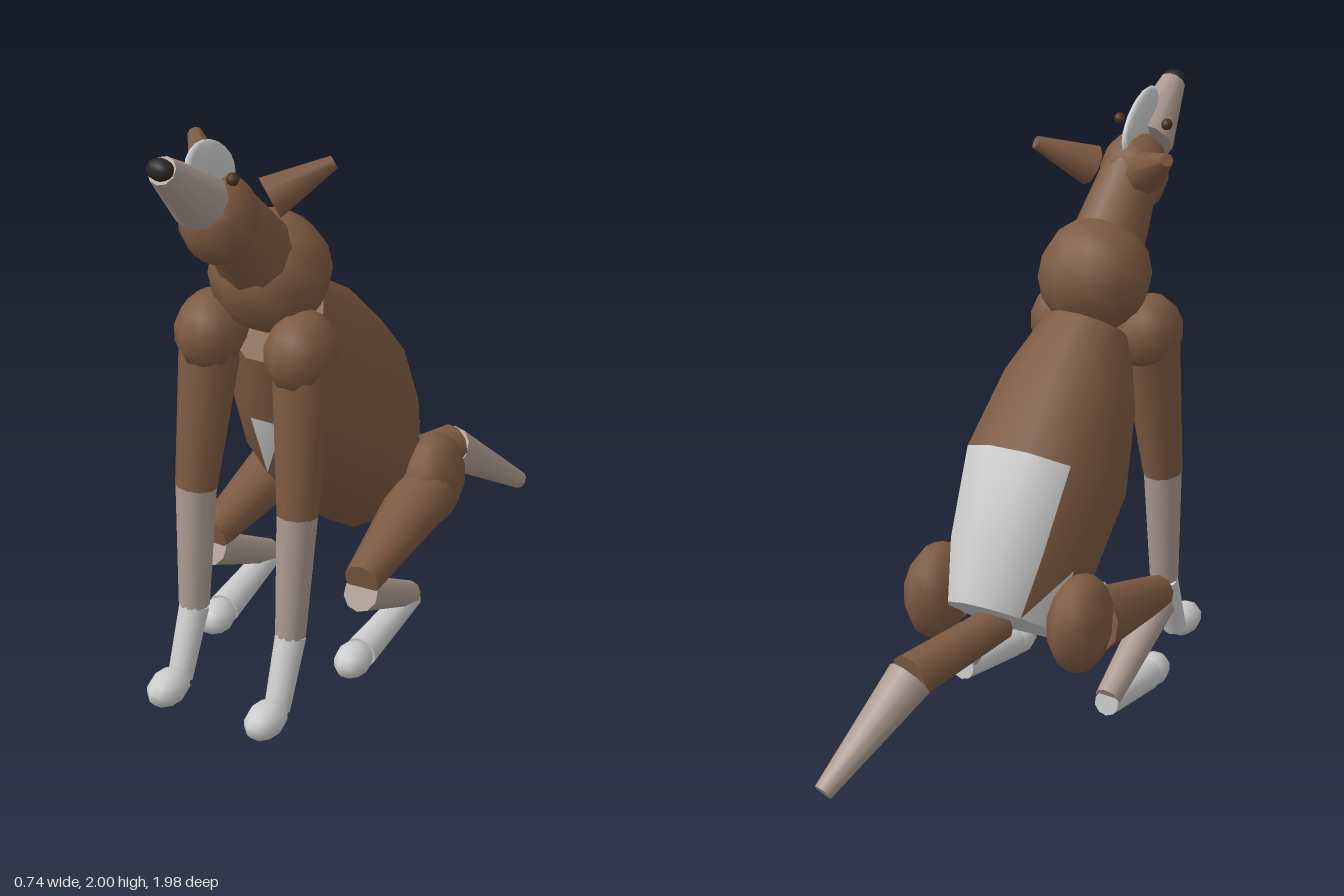
import * as THREE from 'three';

const mat = (color) => new THREE.MeshStandardMaterial({ color });

export function createModel() {
  const model = new THREE.Group();
  model.name = 'sittingDog';
  const brown = mat(0x7d5a42), tan = mat(0xac9a90), pale = mat(0xcccccc);
  const black = mat(0x262626), eyeBrown = mat(0x4a3020);

  const add = (name, geometry, material, parent = model) => {
    const mesh = new THREE.Mesh(geometry, material);
    mesh.name = name;
    parent.add(mesh);
    return mesh;
  };

  // Tapered limb segment running from point a to point b
  const limb = (name, a, b, ra, rb, material, sides = 10) => {
    const p = new THREE.Vector3(...a), q = new THREE.Vector3(...b);
    const dir = q.clone().sub(p);
    const mesh = add(name, new THREE.CylinderGeometry(rb, ra, dir.length(), sides), material);
    mesh.position.copy(p).add(q).multiplyScalar(0.5);
    mesh.quaternion.setFromUnitVectors(new THREE.Vector3(0, 1, 0), dir.normalize());
    return mesh;
  };

  // Ellipsoid joint or paw
  const ball = (name, p, r, material, w = 10, h = 7) => {
    const mesh = add(name, new THREE.SphereGeometry(1, w, h), material);
    mesh.position.set(...p);
    mesh.scale.set(...r);
    return mesh;
  };

  // Torso: a bulging tilted barrel, rows listed from the chest down to the rump
  const body = new THREE.Group();
  body.name = 'torso';
  body.position.set(0, 0.43, -0.25);
  body.rotation.x = 0.61;
  model.add(body);
  const heights = [1.01, 0.78, 0.5, 0.2, 0];
  const radii = [0.175, 0.27, 0.325, 0.288, 0.23];
  const barrel = new THREE.CylinderGeometry(1, 1, 4, 12, 4, false, Math.PI / 12);
  const pos = barrel.attributes.position;
  for (let i = 0; i < pos.count; i++) {
    const row = Math.round(2 - pos.getY(i));
    const r = radii[row];
    pos.setXYZ(i, pos.getX(i) * r * 0.82, heights[row], pos.getZ(i) * r);
  }
  barrel.computeVertexNormals();
  // Smooth over the seam: both copies of the seam vertices share one normal
  const nor = barrel.attributes.normal;
  for (let row = 0; row < 5; row++) {
    const a = row * 13, b = a + 12;
    const n = new THREE.Vector3().fromBufferAttribute(nor, a)
      .add(new THREE.Vector3().fromBufferAttribute(nor, b)).normalize();
    nor.setXYZ(a, n.x, n.y, n.z);
    nor.setXYZ(b, n.x, n.y, n.z);
  }
  // Pale patches: rump saddle, rump underside and a single triangle on the belly
  const isPale = (k) => {
    if (k >= 96) return k >= 108;
    const quad = Math.floor(k / 2), col = Math.floor(quad / 4), row = quad % 4, half = k % 2;
    if (col >= 4 && col <= 6) return row >= 2;
    if (row === 3) return (col === 3 && half === 0) || (col === 7 && half === 1);
    return col === 11 && row === 1 && half === 0;
  };
  const index = Array.from(barrel.index.array);
  const pick = (want) => {
    const g = barrel.clone();
    g.clearGroups();
    g.setIndex(index.filter((_, i) => isPale(Math.floor(i / 3)) === want));
    return g;
  };
  add('bodyCoat', pick(false), brown, body);
  add('bodyPatches', pick(true), pale, body);

  // Chest, neck and head
  ball('chest', [0, 1.43, 0.375], [0.192, 0.192, 0.192], brown, 10, 8);
  limb('neck', [0, 1.46, 0.41], [0, 1.72, 0.63], 0.135, 0.1, brown);
  ball('head', [0, 1.71, 0.658], [0.117, 0.14, 0.13], brown);
  limb('snout', [0, 1.8, 0.757], [0, 1.962, 0.947], 0.09, 0.044, tan);
  ball('nose', [0, 1.968, 0.955], [0.043, 0.033, 0.033], black);
  const blaze = ball('foreheadBlaze', [0, 1.875, 0.7], [0.025, 0.085, 0.15], pale, 12, 10);
  blaze.rotation.x = -0.58;

  // Tail
  limb('tailBase', [0.02, 0.42, -0.25], [0.13, 0.365, -0.635], 0.062, 0.077, brown);
  limb('tailTip', [0.13, 0.36, -0.63], [0.245, 0.09, -0.97], 0.078, 0.032, tan);

  // Paired parts, mirrored left and right
  for (const [side, s] of [['left', 1], ['right', -1]]) {
    const nm = (part) => side + part;
    ball(nm('Eye'), [s * 0.088, 1.872, 0.72], [0.02, 0.02, 0.02], eyeBrown, 8, 6);
    limb(nm('Ear'), [s * 0.1, 1.75, 0.54], [s * 0.24, 1.843, 0.405], 0.07, 0.022, brown, 8);

    // Front leg
    ball(nm('Shoulder'), [s * 0.16, 1.23, 0.463], [0.11, 0.13, 0.137], brown);
    limb(nm('FrontUpperLeg'), [s * 0.165, 1.2, 0.462], [s * 0.185, 0.705, 0.537], 0.1, 0.068, brown);
    limb(nm('FrontLowerLeg'), [s * 0.185, 0.71, 0.537], [s * 0.18, 0.285, 0.577], 0.066, 0.05, tan);
    limb(nm('FrontPastern'), [s * 0.18, 0.28, 0.577], [s * 0.182, 0.055, 0.67], 0.05, 0.042, pale);
    ball(nm('FrontPaw'), [s * 0.182, 0.058, 0.738], [0.062, 0.058, 0.09], pale);

    // Hind leg
    ball(nm('Haunch'), [s * 0.265, 0.47, -0.225], [0.1, 0.165, 0.15], brown);
    limb(nm('Thigh'), [s * 0.265, 0.45, -0.17], [s * 0.285, 0.365, 0.305], 0.11, 0.06, brown);
    limb(nm('Shin'), [s * 0.285, 0.32, 0.31], [s * 0.275, 0.12, -0.045], 0.06, 0.044, tan);
    limb(nm('HindFoot'), [s * 0.275, 0.105, -0.055], [s * 0.265, 0.065, 0.27], 0.043, 0.056, pale);
    ball(nm('HindPaw'), [s * 0.262, 0.062, 0.315], [0.06, 0.058, 0.08], pale);
  }
  return model;
}
